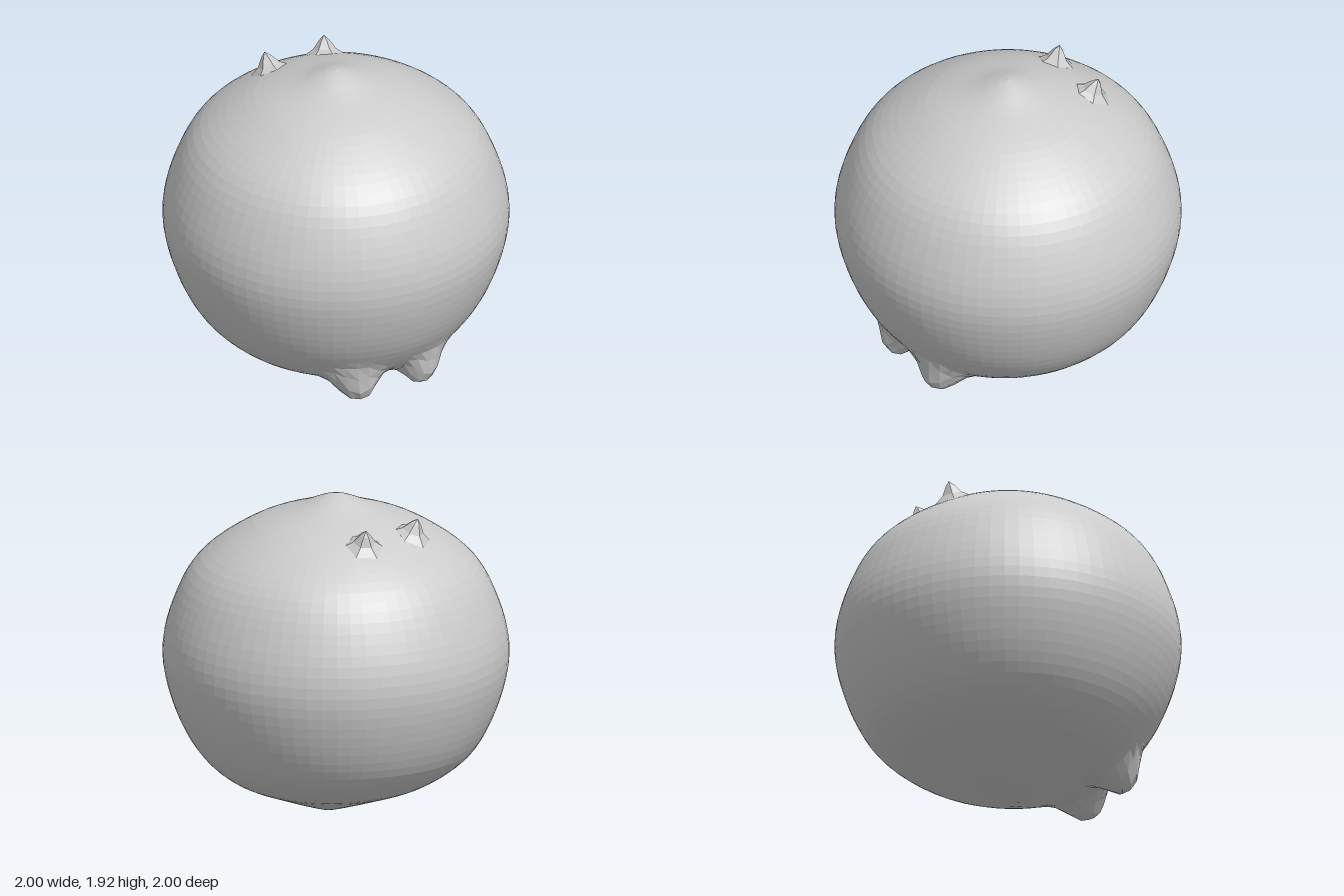
import * as THREE from 'three';

const material = new THREE.MeshStandardMaterial({ color: 0xcccccc, flatShading: true });

// Body outline as radius and height, from the bottom point to the top point
const outline = [
  [0, 0], [0.12, 0.04], [0.37, 0.135], [0.62, 0.245], [0.81, 0.42], [0.94, 0.68], [1, 0.97],
  [0.945, 1.25], [0.8, 1.52], [0.51, 1.73], [0.2, 1.85], [0.08, 1.9], [0, 1.92],
];

// Round body with pinched poles; two feet are pulled out of its lower front
function createBody() {
  const curve = new THREE.SplineCurve(outline.map(([r, y]) => new THREE.Vector2(r, y)));
  const points = curve.getSpacedPoints(48);
  points.forEach((p) => { p.x = Math.max(p.x, 0); });
  const geometry = new THREE.LatheGeometry(points, 72);
  const position = geometry.attributes.position;
  const v = new THREE.Vector3();
  for (let i = 0; i < position.count; i++) {
    v.fromBufferAttribute(position, i);
    const dx = (Math.abs(v.x) - 0.22) * 1.2;
    const d = Math.hypot(dx, v.y - 0.24, v.z - 0.59);
    const pull = Math.exp(-Math.pow(d / 0.15, 3));
    // The bottom point sits slightly forward
    v.z += 0.07 * Math.max(0, 1 - v.y / 0.4);
    v.y -= 0.13 * pull;
    v.z += 0.06 * pull;
    position.setXYZ(i, v.x, v.y, v.z);
  }
  geometry.computeVertexNormals();
  const body = new THREE.Mesh(geometry, material);
  body.name = 'bodyWithFeet';
  return body;
}

// Small six-sided horn with a flared base, leaning backwards
function createHorn(side) {
  const profile = [[0.125, -0.015], [0.065, 0.025], [0.03, 0.075], [0, 0.105]];
  const geometry = new THREE.LatheGeometry(profile.map(([r, y]) => new THREE.Vector2(r, y)), 6);
  const horn = new THREE.Mesh(geometry, material);
  horn.name = side > 0 ? 'leftHorn' : 'rightHorn';
  horn.position.set(0.18 * side, 1.737, -0.46);
  const outward = new THREE.Vector3(0.15 * side, 0.93, -0.36).normalize();
  horn.quaternion.setFromUnitVectors(new THREE.Vector3(0, 1, 0), outward);
  return horn;
}

export function createModel() {
  const model = new THREE.Group();
  model.name = 'roundCreature';
  model.add(createBody(), createHorn(1), createHorn(-1));
  return model;
}
